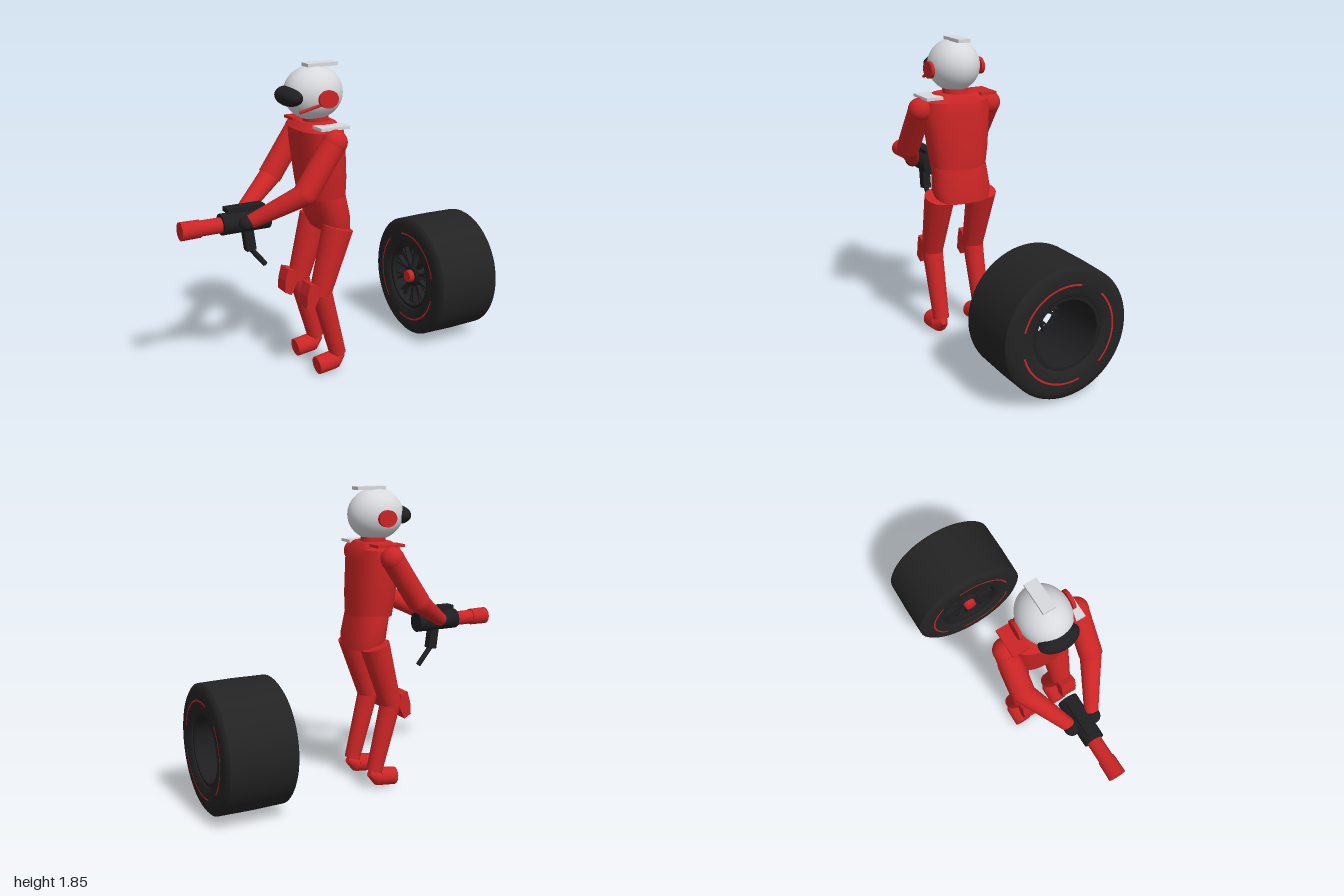
import * as THREE from 'three';
import { toCreasedNormals } from 'three/addons/utils/BufferGeometryUtils.js';

const mat = (name, color) => Object.assign(new THREE.MeshStandardMaterial({ color }), { name });
const V = (x, y, z) => new THREE.Vector3(x, y, z);

// Stack of rounded cross-sections [y, centreX, radiusX, radiusZ], listed bottom to top
function loft(rings, n = 28, power = 2.4) {
  const pos = [], idx = [];
  const r = (v) => Math.sign(v) * Math.pow(Math.abs(v), 2 / power);
  for (const [y, cx, rx, rz] of rings) {
    for (let i = 0; i < n; i++) {
      const a = (i / n) * Math.PI * 2;
      pos.push(cx + rx * r(Math.cos(a)), y, rz * r(Math.sin(a)));
    }
  }
  for (let k = 0; k < rings.length - 1; k++) {
    for (let i = 0; i < n; i++) {
      const a = k * n + i, b = k * n + ((i + 1) % n);
      idx.push(a, a + n, b, b, a + n, b + n);
    }
  }
  const top = (rings.length - 1) * n;
  for (let i = 1; i < n - 1; i++) idx.push(0, i, i + 1, top, top + i + 1, top + i);
  const g = new THREE.BufferGeometry();
  g.setAttribute('position', new THREE.Float32BufferAttribute(pos, 3));
  g.setIndex(idx);
  return toCreasedNormals(g, 0.6);
}

export function createModel() {
  const red = mat('suit red', 0xcb2525);
  const white = mat('helmet white', 0xd8d9dd);
  const black = mat('equipment black', 0x1f1f21);
  const rubber = mat('tyre rubber', 0x232323);

  const model = new THREE.Group();
  const mechanic = new THREE.Group();
  mechanic.name = 'mechanic';
  mechanic.position.z = 0.078;
  model.add(mechanic);

  const add = (parent, name, geo, material, x = 0, y = 0, z = 0) => {
    const m = new THREE.Mesh(geo, material);
    m.name = name;
    m.position.set(x, y, z);
    parent.add(m);
    return m;
  };
  // Tapered round bar from a to b
  const bar = (parent, name, a, b, ra, rb, material) => {
    const m = add(parent, name, new THREE.CylinderGeometry(rb, ra, a.distanceTo(b), 24), material);
    m.position.copy(a).lerp(b, 0.5);
    m.quaternion.setFromUnitVectors(V(0, 1, 0), b.clone().sub(a).normalize());
    return m;
  };
  const ball = (parent, name, rx, ry, rz, material, x, y, z) => {
    const m = add(parent, name, new THREE.SphereGeometry(1, 36, 24), material, x, y, z);
    m.scale.set(rx, ry, rz);
    return m;
  };

  // Body
  add(mechanic, 'torso', loft([
    [1.08, -0.122, 0.124, 0.17], [1.2, -0.13, 0.132, 0.188], [1.42, -0.15, 0.135, 0.212],
    [1.485, -0.157, 0.133, 0.205], [1.525, -0.153, 0.098, 0.14],
  ]), red);
  add(mechanic, 'hips', loft([
    [0.88, -0.065, 0.095, 0.165], [0.95, -0.085, 0.112, 0.185], [1.09, -0.113, 0.113, 0.172],
  ]), red);
  bar(mechanic, 'neck', V(-0.15, 1.5, 0), V(-0.16, 1.58, 0), 0.075, 0.075, red);

  // Helmet
  ball(mechanic, 'helmet', 0.175, 0.155, 0.152, white, -0.17, 1.686, 0);
  ball(mechanic, 'visor', 0.072, 0.058, 0.122, black, -0.32, 1.677, 0);
  add(mechanic, 'helmetFin', new THREE.BoxGeometry(0.19, 0.02, 0.078), white, -0.125, 1.843, 0);
  bar(mechanic, 'microphoneBoom', V(-0.18, 1.645, 0.155), V(-0.32, 1.603, 0.125), 0.009, 0.009, red);

  // Paired parts
  const kneeShape = new THREE.Shape([
    [-0.315, 0.53], [-0.32, 0.46], [-0.275, 0.435], [-0.235, 0.52], [-0.25, 0.59], [-0.295, 0.605],
  ].map(([x, y]) => new THREE.Vector2(x, y)));
  for (const s of [1, -1]) {
    const side = s > 0 ? 'left' : 'right';
    const ear = add(mechanic, 'earDisc', new THREE.CylinderGeometry(0.05, 0.05, 0.02, 28), red, -0.16, 1.67, s * 0.166);
    ear.rotation.x = Math.PI / 2;
    ear.scale.x = 1.2;
    add(mechanic, 'shoulderPlate', new THREE.BoxGeometry(0.18, 0.017, 0.106), s > 0 ? white : red,
      -0.15, 1.515, s * 0.178);

    const arm = new THREE.Group();
    arm.name = side + 'Arm';
    mechanic.add(arm);
    const shoulder = V(-0.157, 1.44, s * 0.23), elbow = V(-0.345, 1.165, s * 0.228);
    const wrist = V(-0.61, 1.005, s * 0.075);
    ball(arm, 'shoulder', 0.072, 0.072, 0.072, red, ...shoulder);
    bar(arm, 'upperArm', shoulder, elbow, 0.07, 0.07, red);
    ball(arm, 'elbow', 0.064, 0.064, 0.064, red, ...elbow);
    bar(arm, 'forearm', elbow, wrist, 0.064, 0.041, red);
    ball(arm, 'glove', 0.052, 0.042, 0.045, black, -0.625, 1.0, s * 0.073);

    const leg = new THREE.Group();
    leg.name = side + 'Leg';
    leg.position.z = s * 0.143;
    mechanic.add(leg);
    bar(leg, 'thigh', V(-0.088, 0.91, 0), V(-0.205, 0.52, 0), 0.092, 0.065, red);
    bar(leg, 'shin', V(-0.2, 0.53, 0), V(-0.088, 0.11, 0), 0.064, 0.05, red);
    const knee = new THREE.ExtrudeGeometry(kneeShape, { depth: 0.1, bevelEnabled: false });
    add(leg, 'kneePad', knee, red, 0, 0, -0.05);
    bar(leg, 'shoe', V(-0.23, 0.055, 0), V(-0.115, 0.07, 0), 0.055, 0.057, red);
    bar(leg, 'heel', V(-0.115, 0.07, 0), V(-0.052, 0.098, 0), 0.057, 0.02, red);
  }

  // Wheel gun
  const gun = new THREE.Group();
  gun.name = 'wheelGun';
  gun.position.y = 0.988;
  mechanic.add(gun);
  bar(gun, 'gunBody', V(-0.76, 0.003, 0), V(-0.47, 0.003, 0), 0.062, 0.062, black);
  bar(gun, 'barrel', V(-0.9, 0, 0), V(-0.75, 0, 0), 0.045, 0.045, red);
  bar(gun, 'socket', V(-1, 0, 0), V(-0.885, 0, 0), 0.053, 0.051, red);
  add(gun, 'topRail', new THREE.BoxGeometry(0.23, 0.026, 0.07), black, -0.615, 0.084, 0);
  add(gun, 'railMount', new THREE.BoxGeometry(0.12, 0.04, 0.04), black, -0.615, 0.06, 0);
  const grip = add(gun, 'grip', new THREE.BoxGeometry(0.058, 0.15, 0.05), black, -0.592, -0.1, 0);
  grip.rotation.z = 0.13;
  bar(gun, 'airHose', V(-0.58, -0.17, 0), V(-0.492, -0.278, 0), 0.016, 0.016, black);

  // Wheel, turned about the x axis
  const wheel = new THREE.Group();
  wheel.name = 'wheel';
  wheel.position.y = 0.405;
  model.add(wheel);
  const turned = (name, pts, material) => {
    const g = new THREE.LatheGeometry(pts.map(([x, r]) => new THREE.Vector2(r, x)), 72);
    add(wheel, name, toCreasedNormals(g, 0.6), material).rotation.z = -Math.PI / 2;
  };
  const half = [[0.2, 0.382], [0.207, 0.374], [0.215, 0.362], [0.221, 0.34], [0.222, 0.31], [0.222, 0.235], [0.21, 0.215]];
  const mid = 0.775;
  const left = half.map(([x, r]) => [mid - x, r]).reverse();
  const right = half.map(([x, r]) => [mid + x, r]);
  turned('tyre', [...left, [mid, 0.385], ...right, left[0]], rubber);
  turned('rimBarrel', [[0.57, 0.195], [0.57, 0.22], [0.98, 0.22], [0.98, 0.195], [0.95, 0.19], [0.6, 0.19], [0.57, 0.195]], black);
  turned('hub', [[0.585, 0], [0.585, 0.055], [0.6, 0.075], [0.66, 0.075], [0.68, 0.05], [0.68, 0]], black);
  bar(wheel, 'wheelNut', V(0.553, 0, 0), V(0.6, 0, 0), 0.036, 0.044, red);

  // Forked spokes
  for (let i = 0; i < 10; i++) {
    const spoke = new THREE.Group();
    spoke.name = 'spoke';
    spoke.rotation.x = (i / 10) * Math.PI * 2;
    wheel.add(spoke);
    add(spoke, 'spokeStem', new THREE.BoxGeometry(0.035, 0.075, 0.02), black, 0.615, 0.1, 0);
    for (const s of [1, -1]) {
      const fork = add(spoke, 'spokeFork', new THREE.BoxGeometry(0.03, 0.085, 0.011), black, 0.61, 0.157, s * 0.013);
      fork.rotation.x = s * 0.2;
    }
  }

  // Three painted arcs on each sidewall
  for (const s of [1, -1]) {
    for (let k = 0; k < 3; k++) {
      const centre = (s > 0 ? 0 : Math.PI) + (k * Math.PI * 2) / 3;
      const arc = new THREE.RingGeometry(0.279, 0.29, 32, 1, centre - Math.PI / 4, Math.PI / 2);
      add(wheel, 'sidewallArc', arc, red, mid + s * 0.2245).rotation.y = (s * Math.PI) / 2;
    }
  }
  return model;
}
